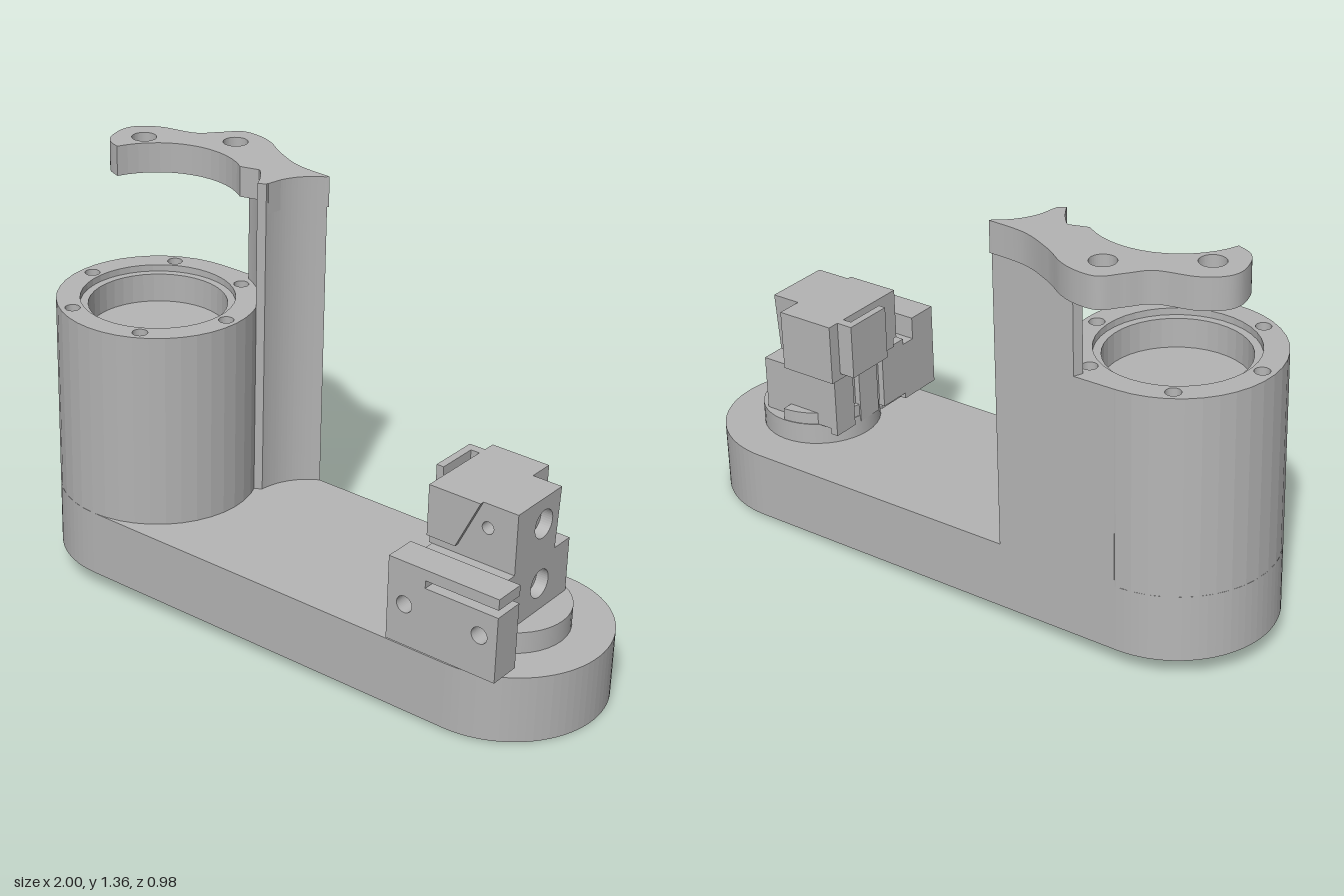
import * as THREE from 'three';

const YAW = 0.25, TILT = -0.039;
const HALF = 0.6865, R = 0.32; // base end centres and radius
const c = Math.cos(YAW), s = Math.sin(YAW);

export function createModel() {
  const grey = new THREE.MeshStandardMaterial({ color: 0xb4b4b4 });
  const model = new THREE.Group();
  const tilt = new THREE.Group();
  tilt.rotation.z = TILT;
  tilt.position.y = 0.04;
  const body = new THREE.Group();
  body.name = 'bracket';
  body.rotation.y = YAW;
  model.add(tilt);
  tilt.add(body);

  const add = (name, geo, parent = body) => {
    const m = new THREE.Mesh(geo, grey);
    m.name = name;
    parent.add(m);
    return m;
  };
  const extrude = (shape, depth) =>
    new THREE.ExtrudeGeometry(shape, { depth, bevelEnabled: false, curveSegments: 20 });
  // upright extrusion: shape is drawn as (u, -v)
  const slab = (shape, y0, y1) => extrude(shape, y1 - y0).rotateX(-Math.PI / 2).translate(0, y0, 0);
  // extrusion along v: shape is (u, y)
  const alongV = (shape, v0, v1) => extrude(shape, v1 - v0).translate(0, 0, v0);
  // extrusion along u: shape is (-v, y)
  const alongU = (shape, u0, u1) => extrude(shape, u1 - u0).rotateY(Math.PI / 2).translate(u0, 0, 0);
  const poly = (pts) => new THREE.Shape(pts.map(([x, y]) => new THREE.Vector2(x, y)));
  const rect = (x0, x1, y0, y1) => poly([[x0, y0], [x1, y0], [x1, y1], [x0, y1]]);
  const circle = (x, y, r) => new THREE.Shape().absarc(x, y, r, 0, Math.PI * 2, false);
  const withHoles = (shape, ...holes) => {
    holes.forEach(([x, y, r]) => shape.holes.push(new THREE.Path().absarc(x, y, r, 0, Math.PI * 2, true)));
    return shape;
  };
  const box = (name, u0, u1, y0, y1, v0, v1, parent) =>
    add(name, new THREE.BoxGeometry(u1 - u0, y1 - y0, v1 - v0)
      .translate((u0 + u1) / 2, (y0 + y1) / 2, (v0 + v1) / 2), parent);

  // Base: rounded bar with two blind holes underneath
  const stadium = () => {
    const p = new THREE.Shape();
    p.absarc(HALF, 0, R, -Math.PI / 2, Math.PI / 2, false);
    p.absarc(-HALF, 0, R, Math.PI / 2, Math.PI * 1.5, false);
    return p;
  };
  add('baseBottom', slab(withHoles(stadium(), [HALF, 0.105, 0.075], [HALF, -0.105, 0.075]), 0, 0.12));
  add('baseTop', slab(stadium(), 0.12, 0.22));

  // Housing cylinder with stepped bore and ring of screw holes
  const screws = [];
  for (let i = 0; i < 6; i++) {
    const a = i * Math.PI / 3;
    screws.push([-HALF + 0.28 * Math.cos(a), 0.28 * Math.sin(a), 0.024]);
  }
  const drum = () => circle(-HALF, 0, R);
  add('housing', slab(drum(), 0.22, 0.75));
  add('housingBore', slab(withHoles(drum(), [-HALF, 0, 0.22], ...screws), 0.75, 0.845));
  add('housingRim', slab(withHoles(drum(), [-HALF, 0, 0.245], ...screws), 0.845, 0.867));

  // Post: crescent between the drum, the back edge and a concave front edge
  const crescent = (endDeg) => {
    const p = new THREE.Shape();
    const a0 = 25 * Math.PI / 180, a1 = endDeg * Math.PI / 180;
    p.moveTo(-HALF + 0.318 * Math.cos(a0), 0.318 * Math.sin(a0));
    p.lineTo(-0.375, 0.15);
    p.quadraticCurveTo(-0.365, 0.265, -0.27, 0.32);
    p.lineTo(-HALF + 0.318 / Math.tan(a1), 0.32);
    p.absarc(-HALF, 0, 0.318, a1, a0, true);
    return p;
  };
  add('postWeb', slab(crescent(89), 0.22, 0.867));
  add('post', slab(crescent(66), 0.867, 1.28));

  // Arm: curved hook above the bore, given in plan and turned into the bar's frame
  const plan = (x, z) => new THREE.Vector2((x - 0.05) * c - z * s, -((x - 0.05) * s + z * c));
  const armShape = (r) => {
    const p = new THREE.Shape();
    const tip = plan(-0.29, -0.25);
    p.moveTo(tip.x, tip.y);
    p.splineThru([[-0.42, -0.23], [-0.54, -0.25], [-0.63, -0.28], [-0.7, -0.285], [-0.765, -0.265],
      [-0.8, -0.2], [-0.84, -0.13], [-0.94, -0.075], [-0.99, -0.02], [-1.0, 0.035], [-0.97, 0.1],
      [-0.93, 0.135], [-0.877, 0.144]].map(([x, z]) => plan(x, z)));
    for (let i = 0; i <= 14; i++) { // inner edge around the bore axis
      const a = (186 + i * 7.6) * Math.PI / 180;
      const q = plan(-0.615 + 0.263 * Math.cos(a), 0.17 + 0.263 * Math.sin(a));
      p.lineTo(q.x, q.y);
    }
    [[-0.46, -0.105], [-0.41, -0.1], [-0.37, -0.06], [-0.35, -0.06], [-0.355, -0.13], [-0.335, -0.19]]
      .forEach(([x, z]) => { const q = plan(x, z); p.lineTo(q.x, q.y); });
    const h1 = plan(-0.7, -0.19), h2 = plan(-0.9, 0.025);
    return withHoles(p, [h1.x, h1.y, r], [h2.x, h2.y, r]);
  };
  add('armUnderside', slab(armShape(0.052), 1.18, 1.23));
  add('arm', slab(armShape(0.04), 1.23, 1.28));

  // Clamp on the far end of the bar
  const clamp = new THREE.Group();
  clamp.name = 'clamp';
  clamp.position.x = HALF;
  body.add(clamp);
  add('clampDisc', new THREE.CylinderGeometry(0.19, 0.19, 0.07, 40).translate(0, 0.255, 0), clamp);
  const half = new THREE.Shape().absarc(0, 0, 0.187, Math.PI / 2, Math.PI * 1.5, false);
  add('clampHalfDisc', slab(half, 0.29, 0.33), clamp);

  // Front jaw with a side slot and two through holes
  const jaw = poly([[-0.19, 0.25], [0.19, 0.25], [0.19, 0.465], [-0.06, 0.465], [-0.06, 0.49],
    [0.19, 0.49], [0.19, 0.525], [-0.19, 0.525]]);
  add('frontJaw', alongV(withHoles(jaw, [-0.13, 0.385, 0.027], [0.13, 0.385, 0.027]), 0.25, 0.355), clamp);

  // Lower and upper blocks, counterbored from the right-hand end
  const lower = (r) => withHoles(rect(-0.2, 0.15, 0.29, 0.47), [0, 0.38, r]);
  add('lowerBlock', alongU(lower(0.024), -0.17, 0.06), clamp);
  add('lowerCounterbore', alongU(lower(0.046), 0.06, 0.1), clamp);
  box('lowerFoot', -0.17, 0.1, 0.25, 0.29, 0.1, 0.25, clamp);
  box('lowerBridge', -0.19, 0.05, 0.25, 0.45, 0.2, 0.25, clamp);
  const upper = (r) => withHoles(poly([[-0.09, 0.47], [0.07, 0.47], [0.085, 0.668], [-0.09, 0.668]]), [0, 0.58, r]);
  add('upperBlock', alongU(upper(0.024), -0.2, 0.06), clamp);
  add('upperCounterbore', alongU(upper(0.046), 0.06, 0.1), clamp);
  add('upperFront', alongV(withHoles(rect(-0.2, 0.1, 0.47, 0.668), [0.0, 0.59, 0.02]), 0.09, 0.14), clamp);
  add('upperWedge', alongV(poly([[-0.2, 0.5], [-0.1, 0.5], [-0.02, 0.668], [-0.2, 0.668]]), 0.14, 0.155), clamp);
  box('upperBack', -0.2, 0.0, 0.47, 0.668, -0.17, -0.08, clamp);

  // Thin side plates, standing off by a slot
  box('upperSidePlate', -0.255, -0.23, 0.49, 0.668, -0.13, 0.04, clamp);
  box('upperPlateLink', -0.235, -0.195, 0.49, 0.668, -0.13, -0.1, clamp);
  for (const [v0, v1] of [[-0.15, -0.06], [-0.03, 0.06], [0.09, 0.2]])
    box('lowerSideRib', -0.19, -0.165, 0.27, 0.47, v0, v1, clamp);
  return model;
}
